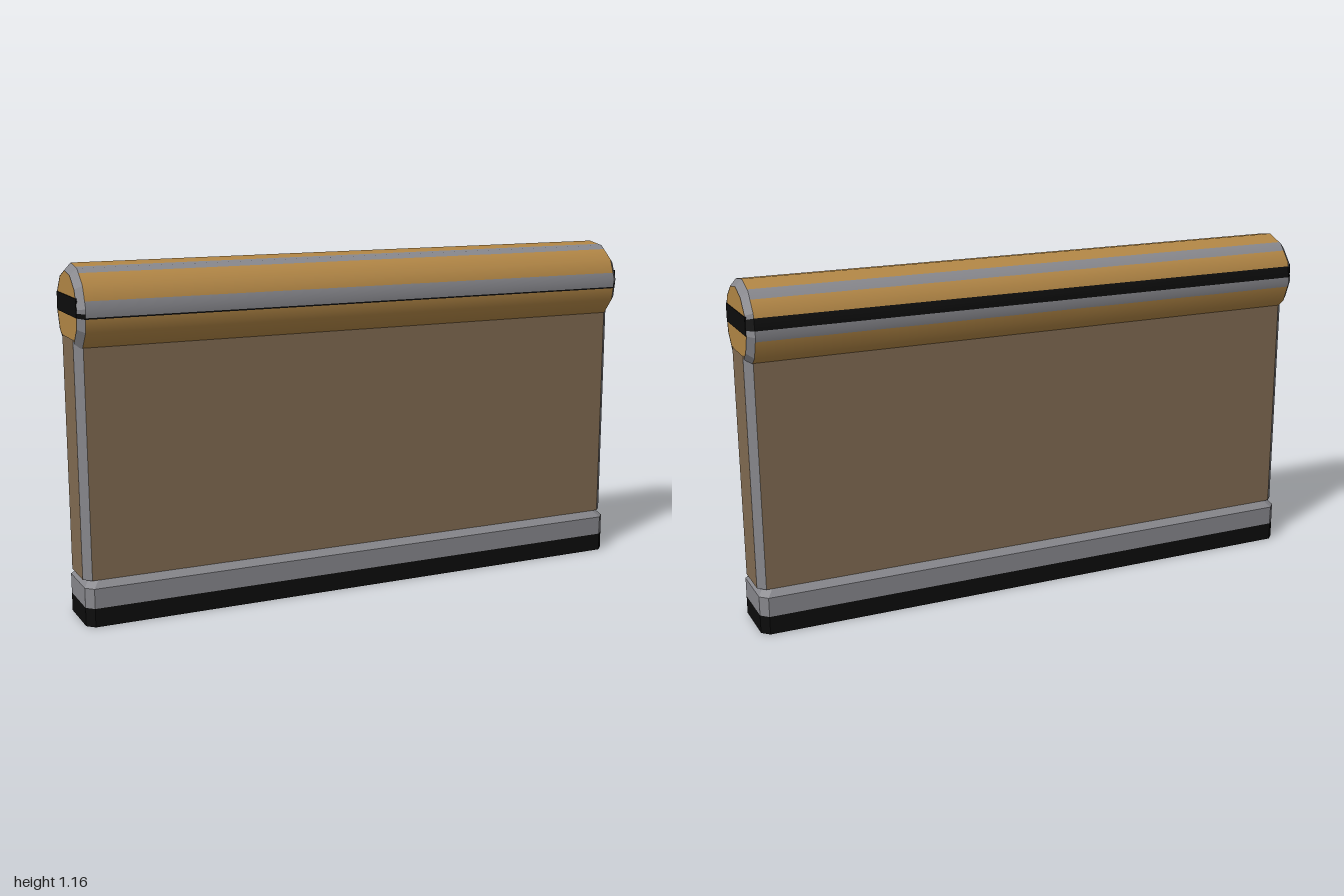
import * as THREE from 'three';

const mat = (name, color) => new THREE.MeshStandardMaterial({ name, color, side: THREE.DoubleSide });

const CY = 1.015, R = 0.145, R_END = 0.122, BEVEL_X = 0.977;
const ARC = [-54, 234]; // open underside, where the rail sits on the panel
const rad = THREE.MathUtils.degToRad;

// Skin between successive rows of points; flat normals
function loft(rows) {
  const pos = [];
  for (let i = 0; i < rows.length - 1; i++) {
    for (let j = 0; j < rows[i].length - 1; j++) {
      const a = rows[i][j], b = rows[i + 1][j], c = rows[i + 1][j + 1], d = rows[i][j + 1];
      pos.push(...a, ...b, ...c, ...a, ...c, ...d);
    }
  }
  const g = new THREE.BufferGeometry();
  g.setAttribute('position', new THREE.Float32BufferAttribute(pos, 3));
  g.computeVertexNormals();
  return g;
}

// Rectangle with chamfered corners at height y, closed
function ring(hx, hz, c, y) {
  const x = hx - c, z = hz - c;
  return [[x, hz], [-x, hz], [-hx, z], [-hx, -z], [-x, -hz], [x, -hz], [hx, -z], [hx, z], [x, hz]]
    .map(([px, pz]) => [px, y, pz]);
}

// Twelve-sided rail section; 0 degrees faces front, 90 faces up
function railPoint(deg, r, x) {
  const local = (((deg - 6) % 30) + 30) % 30 - 15;
  const k = r * Math.cos(rad(15)) / Math.cos(rad(local));
  return [x, CY + k * Math.sin(rad(deg)), k * Math.cos(rad(deg))];
}

function angles(a0, a1) {
  const list = [a0];
  for (let a = -54; a < a1; a += 30) if (a > a0) list.push(a);
  return [...list, a1];
}

const railRow = (a0, a1, r, x) => angles(a0, a1).map((a) => railPoint(a, r, x));

// Long strip of the rail, smooth around its axis
function railStrip(a0, a1) {
  const g = loft([railRow(a0, a1, R, -BEVEL_X), railRow(a0, a1, R, BEVEL_X)]);
  const p = g.attributes.position, n = g.attributes.normal;
  for (let i = 0; i < p.count; i++) {
    const y = p.getY(i) - CY, z = p.getZ(i), l = Math.hypot(y, z);
    n.setXYZ(i, 0, y / l, z / l);
  }
  return g;
}

export function createModel() {
  const wood = mat('goldenWood', 0xb38746);
  const brown = mat('brownPanel', 0x816b52);
  const grey = mat('greyMetal', 0x87878c);
  const black = mat('black', 0x0c0c0c);

  const model = new THREE.Group();
  const group = (name) => {
    const g = new THREE.Group();
    g.name = name;
    model.add(g);
    return g;
  };
  const add = (parent, name, geometry, material) => {
    const m = new THREE.Mesh(geometry, material);
    m.name = name;
    parent.add(m);
    return m;
  };

  // Hollow plinth, open below
  const base = group('base');
  const foot = ring(1, 0.11, 0.025, 0);
  const stripe = ring(1, 0.11, 0.025, 0.062);
  const shoulder = ring(1, 0.11, 0.025, 0.128);
  const lip = ring(0.98, 0.088, 0.025, 0.15);
  add(base, 'baseStripe', loft([foot, stripe]), black);
  add(base, 'baseSides', loft([stripe, shoulder]), grey);
  add(base, 'baseBevel', loft([shoulder, lip]), grey);
  add(base, 'baseTop', loft([lip, ring(0.95, 0.001, 0.001, 0.15)]), grey);

  // Panel with grey chamfered corners
  const panel = group('panel');
  const low = ring(1, 0.09, 0.025, 0.15), high = ring(1, 0.09, 0.025, 0.928);
  for (let i = 0; i < 8; i++) {
    const corner = i % 2 === 1;
    add(panel, corner ? 'panelCorner' : 'panelFace',
      loft([low.slice(i, i + 2), high.slice(i, i + 2)]), corner ? grey : brown);
  }

  // Rail with coloured lengthwise strips
  const rail = group('rail');
  const strips = [
    [ARC[0], -7, wood], [-7, -5, black], [-5, 16, grey], [16, 58, wood], [58, 75, grey],
    [75, 121, wood], [121, 137, grey], [137, 162, wood], [162, 178, black], [178, 192, grey],
    [192, ARC[1], wood],
  ];
  for (const [a0, a1, m] of strips) add(rail, 'railStrip', railStrip(a0, a1), m);

  // Rail ends: bevelled rim, disc and dark band
  const rim = [[ARC[0], -7, grey], [-7, 0, black], [0, 162, grey], [162, 178, black], [178, ARC[1], grey]];
  for (const s of [-1, 1]) {
    for (const [a0, a1, m] of rim) {
      const rows = [railRow(a0, a1, R, s * BEVEL_X), railRow(a0, a1, R_END, s * 0.999)];
      add(rail, 'railRim', loft(s > 0 ? rows : rows.reverse()), m);
    }
    const outline = railRow(...ARC, R_END, 0).map(([, y, z]) => new THREE.Vector2(-s * z, y));
    const disc = add(rail, 'railEnd', new THREE.ShapeGeometry(new THREE.Shape(outline)), wood);
    disc.rotation.y = s * Math.PI / 2;
    disc.position.x = s * 0.998;
    const band = add(rail, 'railEndBand', new THREE.BoxGeometry(0.004, 0.06, 0.232), black);
    band.position.set(s * 0.998, 1.031, 0);
  }
  return model;
}
